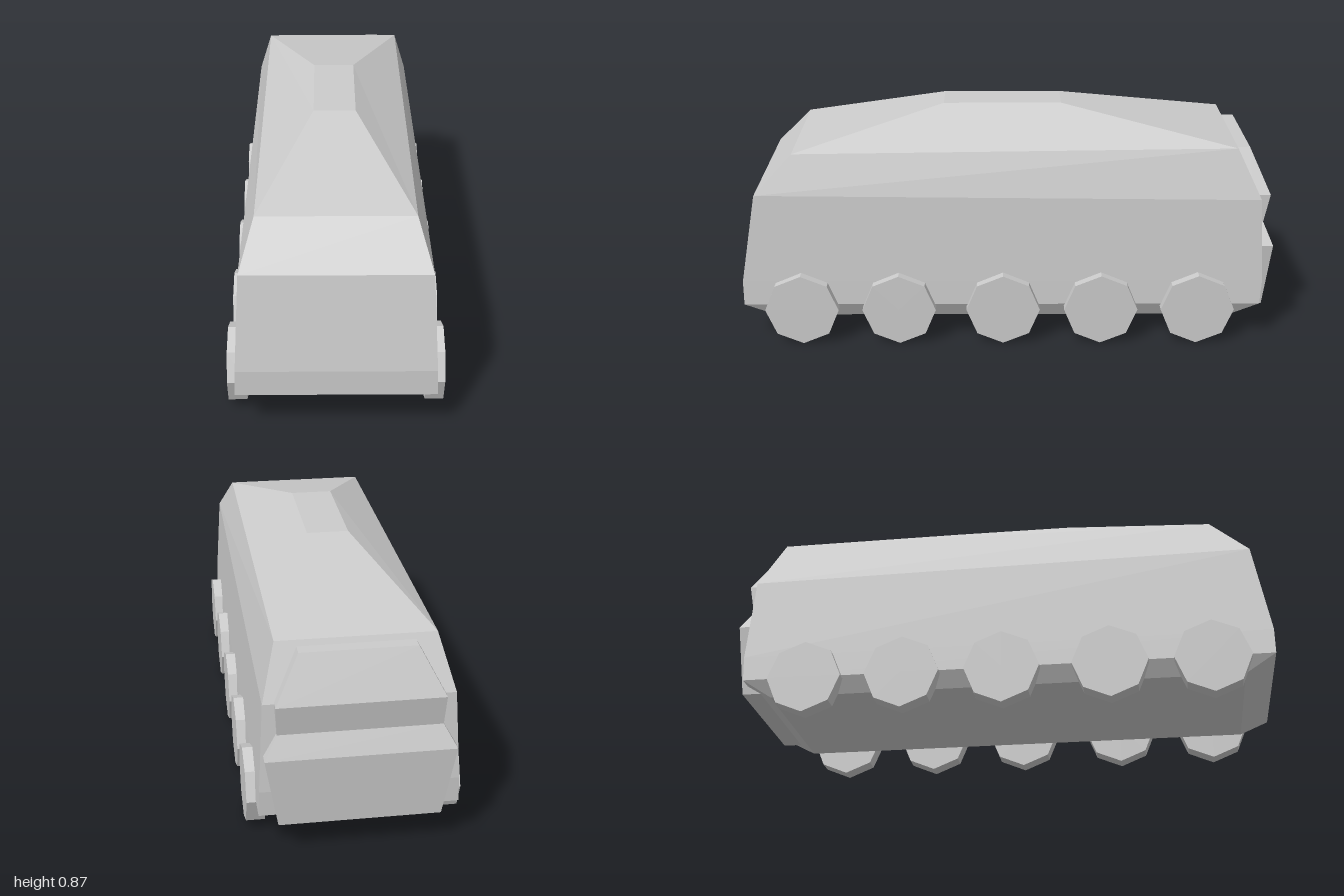
import * as THREE from 'three';

const material = new THREE.MeshStandardMaterial({ color: 0xcccccc, flatShading: true });

// Skins a stack of four-cornered sections, bottom to top:
// [halfWidth, front y, front z, back y, back z]
function loft(sections) {
  const rings = sections.map(([w, yf, zf, yb, zb]) => [
    [w, yf, zf], [w, yb, zb], [-w, yb, zb], [-w, yf, zf],
  ]);
  const positions = [];
  const quad = (a, b, c, d) => positions.push(...a, ...b, ...c, ...a, ...c, ...d);
  for (let r = 0; r < rings.length - 1; r++) {
    const low = rings[r], high = rings[r + 1];
    for (let i = 0; i < 4; i++) {
      const j = (i + 1) % 4;
      quad(low[i], low[j], high[j], high[i]);
    }
  }
  quad(...rings[rings.length - 1]);
  quad(...[...rings[0]].reverse());
  const geometry = new THREE.BufferGeometry();
  geometry.setAttribute('position', new THREE.Float32BufferAttribute(positions, 3));
  geometry.computeVertexNormals();
  return geometry;
}

function addPart(parent, name, geometry) {
  const mesh = new THREE.Mesh(geometry, material);
  mesh.name = name;
  parent.add(mesh);
  return mesh;
}

export function createModel() {
  const model = new THREE.Group();
  model.name = 'armouredVehicle';

  // Faceted hull, from belly to roof ridge
  addPart(model, 'hull', loft([
    [0.31, 0.09, 0.89, 0.09, -0.86],
    [0.345, 0.15, 1.0, 0.15, -0.96],
    [0.342, 0.245, 1.0, 0.245, -0.965],
    [0.325, 0.585, 0.94, 0.565, -0.945],
    [0.274, 0.73, 0.8, 0.75, -0.855],
    [0.077, 0.867, 0.24, 0.867, -0.205],
  ]));

  // Folded rear door, sunk into the back of the hull
  addPart(model, 'rearDoor', loft([
    [0.28, 0.12, -0.89, 0.12, -0.98],
    [0.325, 0.38, -0.93, 0.38, -1.0],
    [0.28, 0.46, -0.92, 0.46, -0.965],
    [0.285, 0.57, -0.92, 0.57, -0.985],
    [0.2, 0.73, -0.86, 0.73, -0.912],
  ]));

  // Five eight-sided wheels on each side
  const wheelGeometry = new THREE.CylinderGeometry(0.139, 0.139, 0.066, 8);
  wheelGeometry.rotateZ(Math.PI / 2);
  const wheels = new THREE.Group();
  wheels.name = 'wheels';
  for (const side of [1, -1]) {
    [0.778, 0.41, 0.016, -0.354, -0.72].forEach((z, i) => {
      const wheel = addPart(wheels, `${side > 0 ? 'left' : 'right'}Wheel${i + 1}`, wheelGeometry);
      wheel.position.set(side * 0.344, 0.14, z);
    });
  }
  model.add(wheels);

  return model;
}
